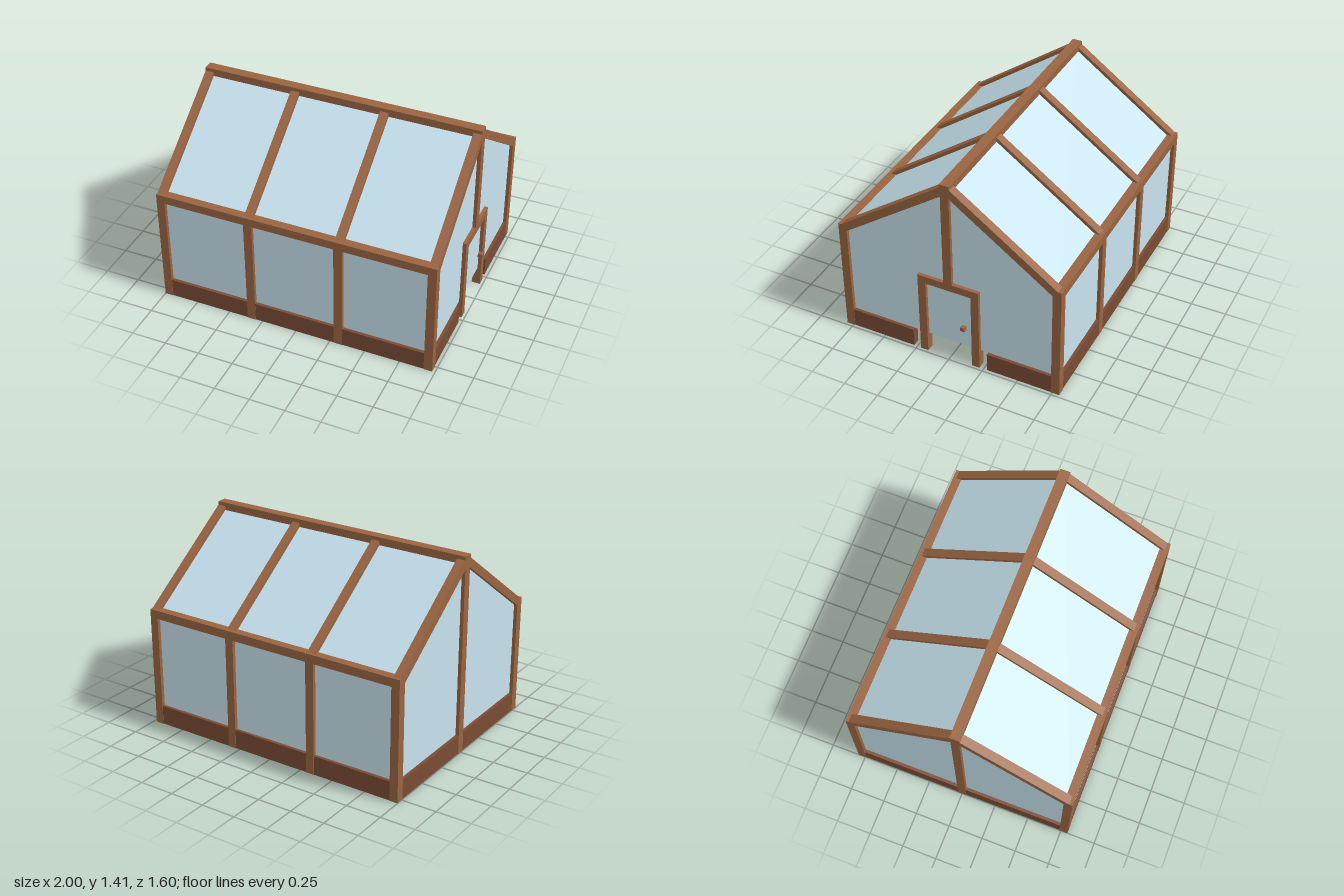
import * as THREE from 'three';

const wood = new THREE.MeshStandardMaterial({ color: 0x9a6542 });
const darkWood = new THREE.MeshStandardMaterial({ color: 0x7a4c34 });
const glass = new THREE.MeshStandardMaterial({ color: 0xc8e3ef });

const T = 0.06;                            // timber thickness
const FRAMES = [-0.97, -0.33, 0.31, 0.95]; // frame positions along x
const X0 = FRAMES[0], X1 = FRAMES[3], MID = (X0 + X1) / 2, LEN = X1 - X0 + T;
const SIDE = 0.77, EAVE = 0.825, RIDGE = 1.375; // frame centre lines
const BASE_H = 0.137, BASE_T = 0.054;

export function createModel() {
  const model = new THREE.Group();

  const box = (name, mat, [w, h, d], [x, y, z], tilt = 0) => {
    const mesh = new THREE.Mesh(new THREE.BoxGeometry(w, h, d), mat);
    mesh.name = name;
    mesh.position.set(x, y, z);
    mesh.rotation.x = tilt;
    model.add(mesh);
    return mesh;
  };

  const slope = Math.atan2(RIDGE - EAVE, SIDE);
  const rafterLen = Math.hypot(RIDGE - EAVE, SIDE);

  // Long sides and roof slopes, mirrored front to back
  for (const s of [1, -1]) {
    const z = s * SIDE, roofAt = [(EAVE + RIDGE) / 2, z / 2];
    box('sideBase', darkWood, [LEN - 0.006, BASE_H, BASE_T], [MID, BASE_H / 2, z]);
    box('eaveBeam', wood, [LEN, T, T], [MID, EAVE, z]);
    box('sideGlass', glass, [X1 - X0, EAVE - BASE_H, 0.01], [MID, (EAVE + BASE_H) / 2, z]);
    box('roofGlass', glass, [X1 - X0, 0.01, rafterLen], [MID, ...roofAt], s * slope);
    for (const x of FRAMES) {
      box('sidePost', wood, [T, EAVE, T], [x, EAVE / 2, z]);
      box('rafter', wood, [T, 0.057, rafterLen], [x, ...roofAt], s * slope);
    }
    // Gable base on the door side stops short of the doorway
    box('doorSideBase', darkWood, [BASE_T, BASE_H, SIDE - 0.275], [X1, BASE_H / 2, s * (SIDE + 0.275) / 2]);
    box('doorPost', wood, [T, 0.58, 0.056], [X1, 0.29, s * 0.193]);
  }
  box('ridgeBeam', wood, [LEN, 0.064, 0.07], [MID, 1.378, 0]);

  // Gable glass: one five-sided pane at each end
  const pane = new THREE.Shape([
    [-SIDE, BASE_H], [SIDE, BASE_H], [SIDE, EAVE], [0, RIDGE], [-SIDE, EAVE],
  ].map(([a, b]) => new THREE.Vector2(a, b)));
  const paneGeo = new THREE.ExtrudeGeometry(pane, { depth: 0.01, bevelEnabled: false });
  paneGeo.translate(0, 0, -0.005).rotateY(Math.PI / 2);
  for (const x of [X0, X1]) {
    const mesh = new THREE.Mesh(paneGeo, glass);
    mesh.name = 'gableGlass';
    mesh.position.x = x;
    model.add(mesh);
  }

  // Closed gable
  box('gableBase', darkWood, [BASE_T, BASE_H, 2 * SIDE], [X0, BASE_H / 2, 0]);
  box('gablePost', wood, [T, RIDGE, T], [X0, RIDGE / 2, 0]);

  // Door gable: lintel, post above it, and door knob
  box('doorLintel', wood, [T, 0.056, 0.442], [X1, 0.608, 0]);
  box('gablePost', wood, [T, RIDGE - 0.635, T], [X1, (RIDGE + 0.635) / 2, 0]);
  box('doorKnob', wood, [0.03, 0.03, 0.03], [0.985, 0.305, -0.11]);

  return model;
}
